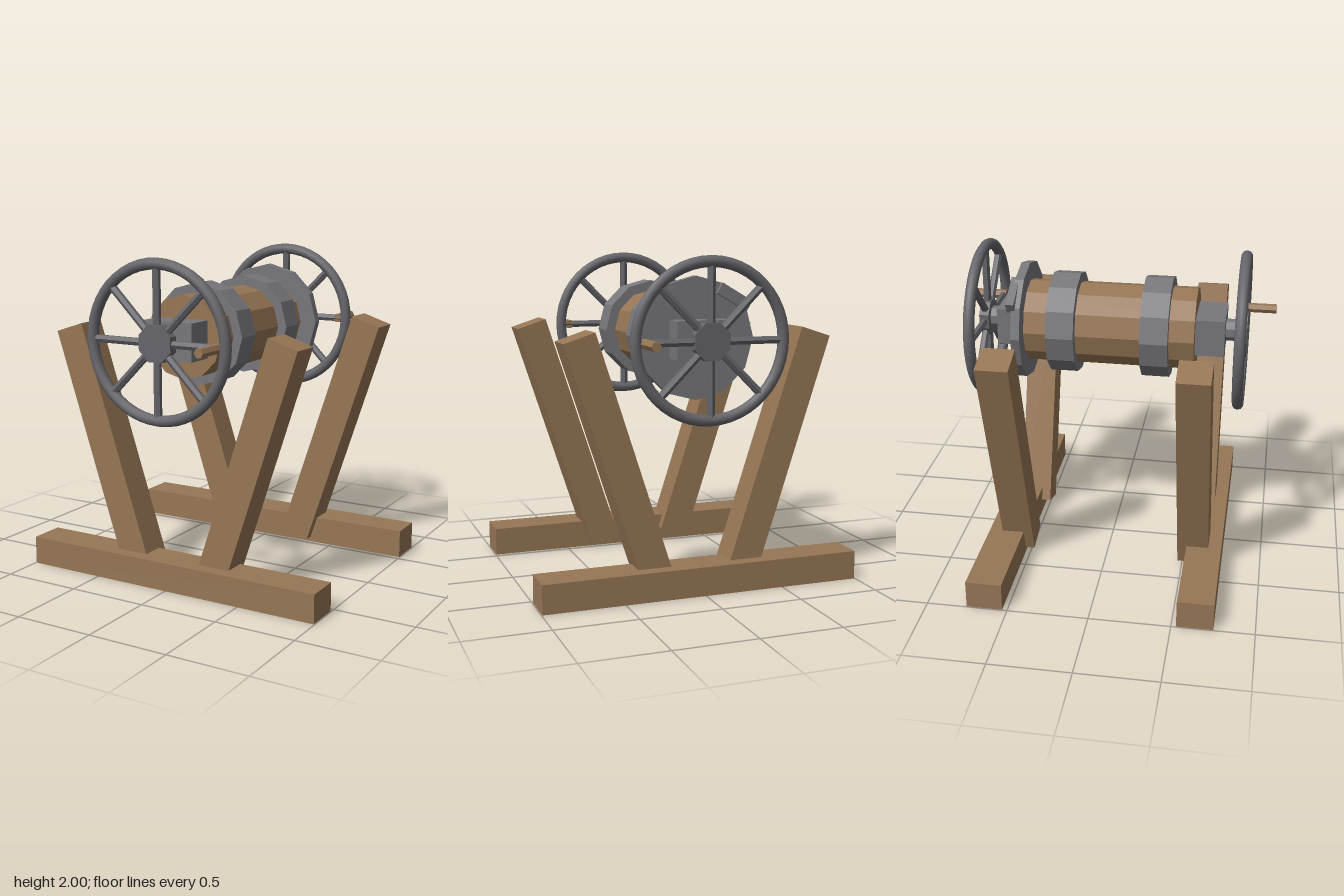
import * as THREE from 'three';

const wood = new THREE.MeshStandardMaterial({ color: 0x967655, flatShading: true });
const metal = new THREE.MeshStandardMaterial({ color: 0x77777c, flatShading: true });
const iron = new THREE.MeshStandardMaterial({ color: 0x66656b });
const ironFlat = new THREE.MeshStandardMaterial({ color: 0x66656b, flatShading: true });
const AXIS_Y = 1.515;

function add(parent, name, geometry, material, x = 0, y = 0, z = 0) {
  const mesh = new THREE.Mesh(geometry, material);
  mesh.name = name;
  mesh.position.set(x, y, z);
  parent.add(mesh);
  return mesh;
}

// Prism lying along z, turned about its axis by spin
function prism(radius, length, sides, spin = 0) {
  return new THREE.CylinderGeometry(radius, radius, length, sides)
    .rotateX(Math.PI / 2).rotateZ(spin);
}

// Spoked hand wheel with a wooden crank handle pointing outward
function makeWheel(side) {
  const wheel = new THREE.Group();
  wheel.name = side > 0 ? 'frontWheel' : 'backWheel';
  wheel.position.set(0, AXIS_Y, side * 0.8);
  add(wheel, 'rim', new THREE.TorusGeometry(0.454, 0.034, 10, 48), iron);
  add(wheel, 'hub', prism(0.117, 0.06, 8, Math.PI / 8), ironFlat);
  for (let i = 0; i < 8; i++) {
    const spoke = new THREE.CylinderGeometry(0.024, 0.024, 0.38, 6)
      .translate(0, 0.26, 0).rotateZ(i * Math.PI / 4);
    add(wheel, 'spoke', spoke, ironFlat);
  }
  add(wheel, 'handle', prism(0.03, 0.22, 6, Math.PI / 6), wood, 0.4, 0, side * 0.09);
  return wheel;
}

export function createModel() {
  const model = new THREE.Group();
  model.name = 'winch';

  // Drum with its two metal bands
  add(model, 'drum', prism(0.255, 1.045, 12), wood, 0, AXIS_Y, 0);
  for (const side of [1, -1]) {
    add(model, 'band', prism(0.314, 0.17, 12), metal, 0, AXIS_Y, side * 0.285);
  }

  // Ratchet plate and its pawl at the back
  add(model, 'ratchetPlate', prism(0.366, 0.055, 12), metal, 0, AXIS_Y, -0.545);
  const pawl = add(model, 'pawl', new THREE.BoxGeometry(0.22, 0.07, 0.05), metal, -0.235, 1.755, -0.573);
  pawl.rotation.z = Math.PI / 6;

  // Frame, bearings and wheel at each end
  const tilt = THREE.MathUtils.degToRad(18);
  for (const side of [1, -1]) {
    add(model, 'baseBeam', new THREE.BoxGeometry(1.99, 0.176, 0.222), wood, 0, 0.088, side * 0.642);
    for (const sx of [1, -1]) {
      const leg = add(model, 'leg', new THREE.BoxGeometry(0.195, 1.561, 0.197), wood,
        sx * 0.496, 0.8025, side * 0.571);
      leg.rotation.z = -sx * tilt;
    }
    add(model, 'bearingBlock', new THREE.BoxGeometry(0.335, 0.226, 0.18), metal, 0, AXIS_Y, side * 0.61);
    add(model, 'axle', prism(0.067, 0.14, 8, Math.PI / 8), metal, 0, AXIS_Y, side * 0.73);
    model.add(makeWheel(side));
  }
  return model;
}
